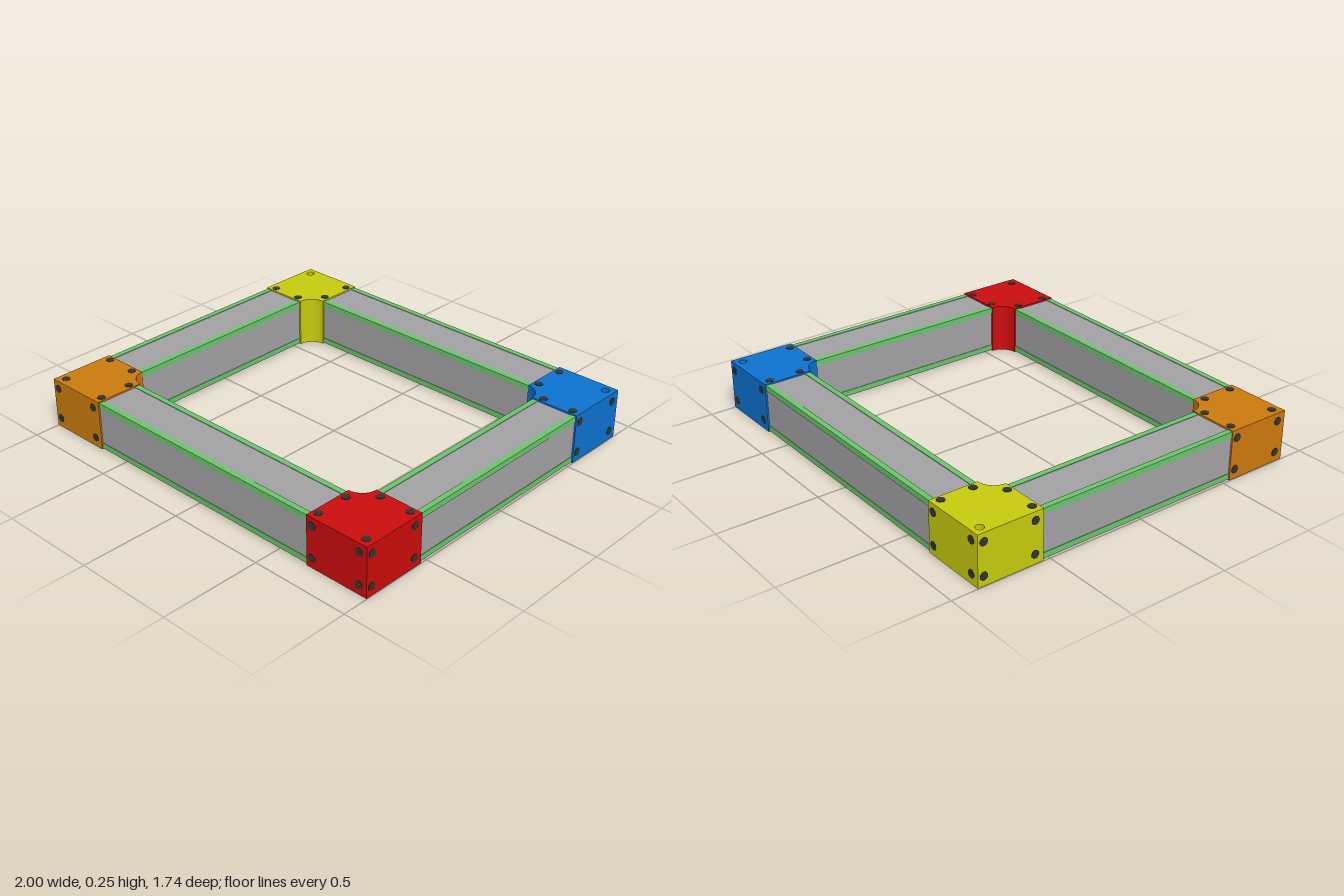
import * as THREE from 'three';
import { toCreasedNormals } from 'three/addons/utils/BufferGeometryUtils.js';

const HALF_X = 1, HALF_Z = 0.87, HEIGHT = 0.25;
const BLOCK = 0.333;   // corner block side
const INNER = 0.25;    // frame width between outer edge and opening
const BEAM = 0.24;     // rail section
const STRIP = 0.028;   // edge strip section

const mat = (name, color) => {
  const m = new THREE.MeshStandardMaterial({ color });
  m.name = name;
  return m;
};

export function createModel() {
  const mats = {
    red: mat('red', 0xcc0c0c),
    blue: mat('blue', 0x0c72d0),
    yellow: mat('yellow', 0xc6cb0c),
    orange: mat('orange', 0xcc7a0c),
    grey: mat('grey', 0xa2a2a5),
    green: mat('green', 0x6cc46c),
    dark: mat('dark', 0x333330),
  };
  const model = new THREE.Group();
  model.name = 'frame';

  const add = (parent, name, geo, material, x = 0, y = 0, z = 0) => {
    const mesh = new THREE.Mesh(geo, material);
    mesh.name = name;
    mesh.position.set(x, y, z);
    parent.add(mesh);
    return mesh;
  };

  // Corner block: square plan with a concave rounded inner corner
  const blockGeometry = (openHole) => {
    const s = new THREE.Shape();
    s.moveTo(0, 0);
    s.lineTo(0, BLOCK);
    s.lineTo(-INNER, BLOCK);
    s.absarc(-BLOCK, BLOCK, BLOCK - INNER, 0, -Math.PI / 2, true);
    s.lineTo(-BLOCK, 0);
    s.closePath();
    if (openHole) {
      const hole = new THREE.Path();
      hole.absarc(-0.042, 0.042, 0.02, 0, Math.PI * 2, true);
      s.holes.push(hole);
    }
    const geo = new THREE.ExtrudeGeometry(s, { depth: HEIGHT, bevelEnabled: false, curveSegments: 16 });
    geo.rotateX(-Math.PI / 2);
    return toCreasedNormals(geo, 0.6);
  };

  const screwGeo = new THREE.CylinderGeometry(0.02, 0.02, 0.004, 16);
  const topScrews = [[0.042, 0.042], [0.305, 0.042], [0.305, 0.205], [0.042, 0.305], [0.205, 0.305]];

  const addCorner = (color, sx, sz, turn, openHole) => {
    const g = new THREE.Group();
    g.name = color + 'Corner';
    g.position.set(sx * HALF_X, 0, sz * HALF_Z);
    g.rotation.y = turn * Math.PI / 2;
    add(g, 'cornerBlock', blockGeometry(openHole), mats[color]);
    // screws on the top and bottom faces
    topScrews.forEach(([dx, dz], i) => {
      if (openHole && i === 0) return;
      for (const y of [0, HEIGHT]) add(g, 'screw', screwGeo, mats.dark, -dx, y, -dz);
    });
    // screws on the two outer side faces
    for (const y of [0.048, 0.208]) {
      for (const d of [0.03, 0.29]) {
        add(g, 'screw', screwGeo, mats.dark, d - BLOCK, y, 0).rotation.x = Math.PI / 2;
        add(g, 'screw', screwGeo, mats.dark, 0, y, -d).rotation.z = Math.PI / 2;
      }
    }
    model.add(g);
  };
  addCorner('red', 1, 1, 0, false);
  addCorner('blue', 1, -1, 1, true);
  addCorner('yellow', -1, -1, 2, true);
  addCorner('orange', -1, 1, 3, false);

  // Rail: grey beam, slightly recessed between four green edge strips
  const addRail = (name, length, x, z, turn) => {
    const g = new THREE.Group();
    g.name = name;
    g.position.set(x, HEIGHT / 2, z);
    g.rotation.y = turn;
    add(g, 'beam', new THREE.BoxGeometry(length, BEAM - 0.006, BEAM - 0.006), mats.grey);
    const stripGeo = new THREE.BoxGeometry(length, STRIP, STRIP);
    const o = (BEAM - STRIP) / 2;
    for (const sy of [-1, 1]) {
      for (const sz of [-1, 1]) add(g, 'edgeStrip', stripGeo, mats.green, 0, sy * o, sz * o);
    }
    model.add(g);
  };
  for (const s of [-1, 1]) {
    addRail(s > 0 ? 'frontRail' : 'backRail', 2 * (HALF_X - BLOCK), 0, s * (HALF_Z - INNER / 2), 0);
    addRail(s > 0 ? 'leftRail' : 'rightRail', 2 * (HALF_Z - BLOCK), s * (HALF_X - INNER / 2), 0, Math.PI / 2);
  }
  return model;
}
